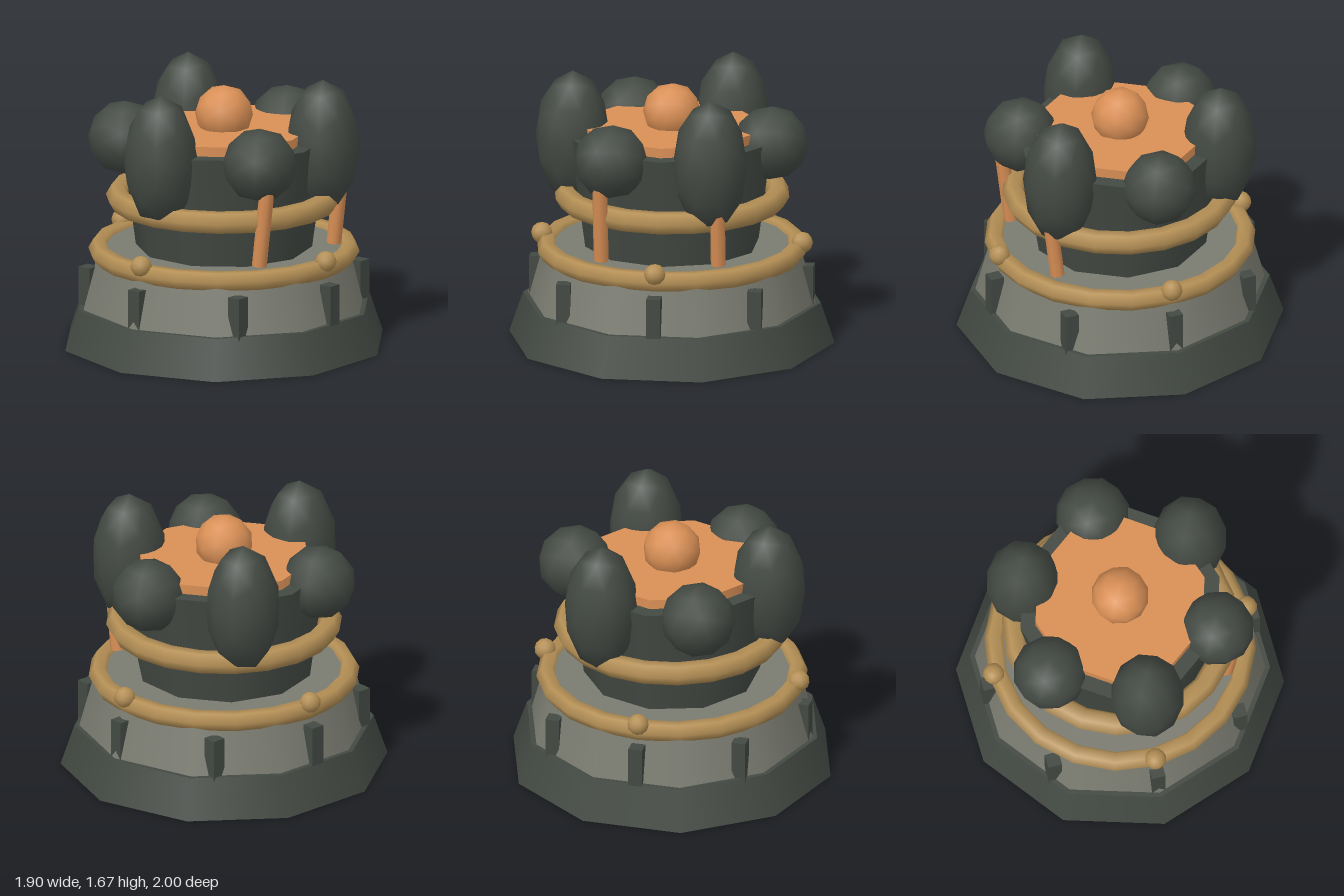
import * as THREE from 'three';

const mat = (name, color) => {
  const m = new THREE.MeshStandardMaterial({ color });
  m.name = name;
  return m;
};

export function createModel() {
  const group = new THREE.Group();
  const slate = mat('dark slate', 0x434943);
  const stone = mat('grey stone', 0x7a7b70);
  const brass = mat('brass', 0xb48f55);
  const copper = mat('copper', 0xd98f55);

  const add = (name, geometry, material, x = 0, y = 0, z = 0) => {
    const mesh = new THREE.Mesh(geometry, material);
    mesh.name = name;
    mesh.position.set(x, y, z);
    group.add(mesh);
    return mesh;
  };

  // Ten-sided tier between two heights
  const tier = (name, material, rTop, rBottom, y0, y1, turn = 0) => {
    const g = new THREE.CylinderGeometry(rTop, rBottom, y1 - y0, 10);
    add(name, g, material, 0, (y0 + y1) / 2, 0).rotation.y = turn;
  };
  tier('base', slate, 0.915, 1, 0, 0.25);
  tier('stoneTier', stone, 0.79, 0.885, 0.25, 0.6);
  tier('drum', slate, 0.63, 0.535, 0.58, 1.29, Math.PI / 10);
  tier('copperCap', copper, 0.535, 0.535, 1.27, 1.35, Math.PI / 10);

  // Hoops lying flat around the tiers
  const hoop = (name, radius, tube, y) => {
    add(name, new THREE.TorusGeometry(radius, tube, 6, 20), brass, 0, y, 0).rotation.x = Math.PI / 2;
  };
  hoop('lowerHoop', 0.765, 0.063, 0.575);
  hoop('upperHoop', 0.65, 0.071, 0.913);

  // Buttress blocks all round, a brass knob above every second one
  for (let i = 0; i < 8; i++) {
    const a = (i * Math.PI) / 4;
    const x = Math.sin(a), z = Math.cos(a);
    add('buttress', new THREE.BoxGeometry(0.086, 0.28, 0.086), slate, x * 0.83, 0.35, z * 0.83);
    if (i % 2 === 0) {
      add('knob', new THREE.IcosahedronGeometry(0.066, 1), brass, x * 0.8, 0.63, z * 0.8);
    }
  }

  // Six pods around the rim, alternately tall and round
  for (let i = 0; i < 6; i++) {
    const a = (i * Math.PI) / 3;
    const tall = i % 2 === 0;
    const pod = add(tall ? 'tallPod' : 'roundPod', new THREE.IcosahedronGeometry(0.229, 1), slate,
      Math.sin(a) * 0.61, 1.255, Math.cos(a) * 0.61);
    if (tall) pod.scale.y = 1.8;
  }

  // Central ball on the cap
  add('topBall', new THREE.IcosahedronGeometry(0.178, 1), copper, 0, 1.43, 0);

  // Two leaning pipes on the left side
  for (const z of [0.36, -0.36]) {
    const pipe = add('pipe', new THREE.CylinderGeometry(0.046, 0.046, 0.51, 8), copper, 0.602, 0.893, z);
    pipe.rotation.z = -0.125;
  }

  return group;
}
